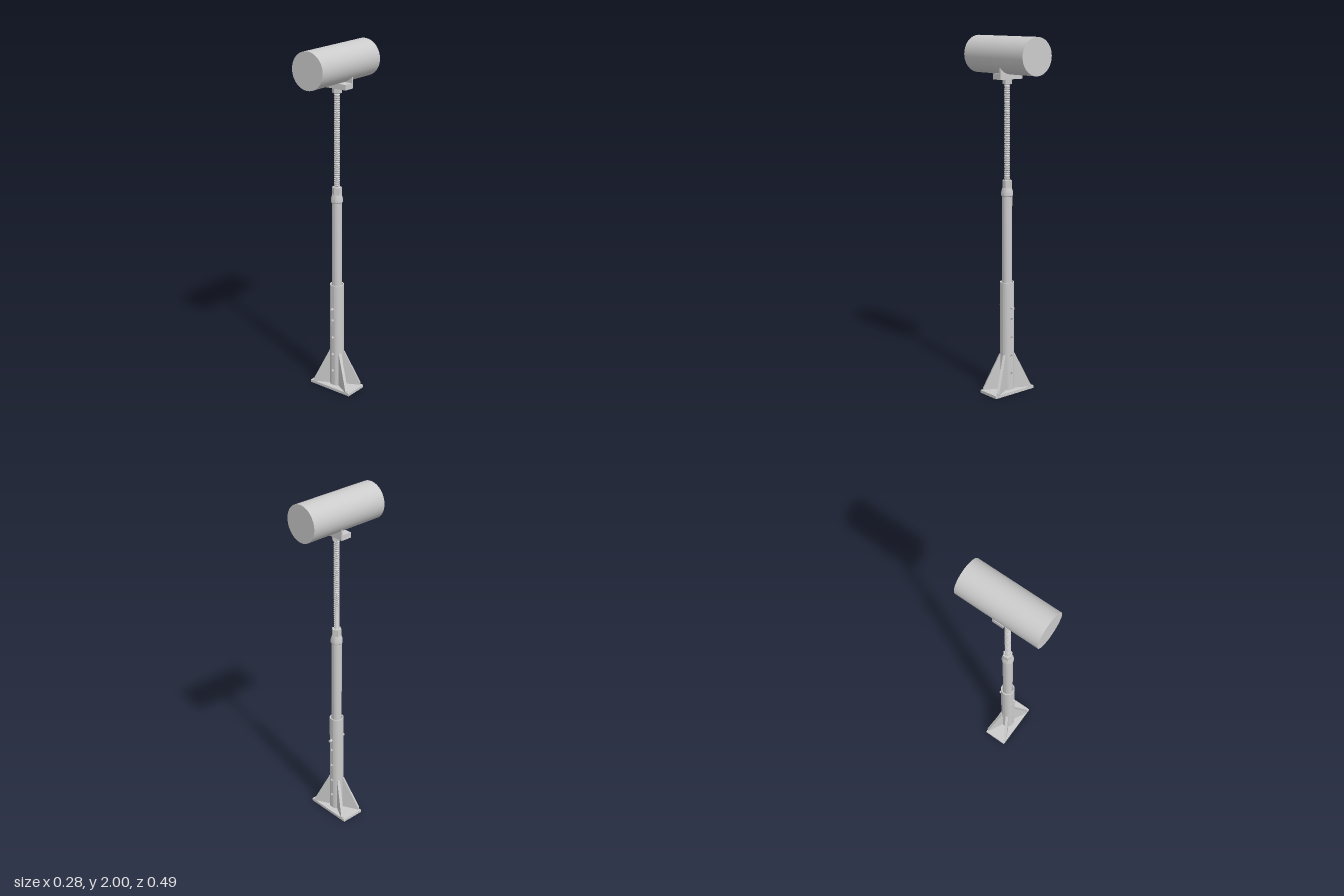
import * as THREE from 'three';
import { toCreasedNormals } from 'three/addons/utils/BufferGeometryUtils.js';

const material = new THREE.MeshStandardMaterial({ color: 0xcccccc, side: THREE.DoubleSide });

export function createModel() {
  const model = new THREE.Group();

  const add = (name, geometry, x = 0, y = 0, z = 0, parent = model) => {
    const mesh = new THREE.Mesh(geometry, material);
    mesh.name = name;
    mesh.position.set(x, y, z);
    parent.add(mesh);
    return mesh;
  };
  const lathe = (points, sides) => toCreasedNormals(
    new THREE.LatheGeometry(points.map(([r, y]) => new THREE.Vector2(r, y)), sides), 0.6);
  const extrude = (shape, depth, curveSegments = 12) =>
    new THREE.ExtrudeGeometry(shape, { depth, bevelEnabled: false, curveSegments });

  // Base plate with four splayed gussets
  add('basePlate', new THREE.BoxGeometry(0.28, 0.016, 0.138), 0, 0.008, 0);
  const gussetShape = new THREE.Shape([
    [0.036, 0.014], [0.139, 0.014], [0.139, 0.024], [0.044, 0.22], [0.036, 0.22],
  ].map(([x, y]) => new THREE.Vector2(x, y)));
  const gussetGeometry = extrude(gussetShape, 0.016).translate(0, 0, -0.008);
  const splay = THREE.MathUtils.degToRad(28);
  for (const angle of [splay, -splay, Math.PI - splay, Math.PI + splay]) {
    add('gusset', gussetGeometry).rotation.y = angle;
  }

  // Outer tube: two curved walls joined by narrow front and back strips with holes
  const outer = 0.04, wall = 0.007, bottom = 0.016, top = 0.642, halfStrip = 0.011;
  const tube = new THREE.Group();
  tube.name = 'outerTube';
  model.add(tube);
  const cut = Math.asin(halfStrip / outer);
  const sweep = Math.PI / 2 - cut;
  const arc = new THREE.Shape();
  arc.absarc(0, 0, outer, -sweep, sweep, false);
  arc.absarc(0, 0, outer - wall, sweep, -sweep, true);
  const wallGeometry = toCreasedNormals(
    extrude(arc, top - bottom, 20).rotateX(-Math.PI / 2), 0.6);

  const strip = new THREE.Shape([
    new THREE.Vector2(-halfStrip, bottom), new THREE.Vector2(halfStrip, bottom),
    new THREE.Vector2(halfStrip, top), new THREE.Vector2(-halfStrip, top),
  ]);
  for (const y of [0.11, 0.215, 0.323, 0.43, 0.497]) {
    const hole = new THREE.Path();
    hole.absarc(0, y, 0.008, 0, Math.PI * 2, true);
    strip.holes.push(hole);
  }
  const stripGeometry = extrude(strip, wall).translate(0, 0, outer * Math.cos(cut) - wall);
  for (const turn of [0, Math.PI]) {
    add('tubeWall', wallGeometry, 0, bottom, 0, tube).rotation.y = turn;
    add('holeStrip', stripGeometry, 0, 0, 0, tube).rotation.y = turn;
  }
  add('lockingPin', new THREE.CylinderGeometry(0.0075, 0.0075, 0.112, 16), 0, 0.497, 0)
    .rotation.x = Math.PI / 2;

  // Telescoping inner tube and its end fitting
  add('innerTube', lathe([[0, 0.46], [0.0285, 0.46], [0.0285, 1.14], [0, 1.14]], 32));
  add('fittingCollar', lathe([
    [0.0285, 1.128], [0.033, 1.133], [0.033, 1.152], [0.026, 1.176], [0, 1.176],
  ], 32));
  add('fittingNut', new THREE.CylinderGeometry(0.027, 0.027, 0.062, 6).toNonIndexed(), 0, 1.187, 0)
    .geometry.computeVertexNormals();

  // Flexible neck with ribs
  const ribs = [], ribCount = 44, neckBottom = 1.21, neckTop = 1.75;
  const pitch = (neckTop - neckBottom) / ribCount;
  for (let i = 0; i < ribCount; i++) {
    const y = neckBottom + i * pitch;
    ribs.push([0.0125, y], [0.016, y + pitch * 0.3], [0.016, y + pitch * 0.7]);
  }
  ribs.push([0.0125, neckTop]);
  add('flexibleNeck', lathe(ribs, 20));

  // Upper nut and saddle bracket
  add('upperNut', new THREE.CylinderGeometry(0.026, 0.026, 0.028, 6).toNonIndexed(), 0, 1.757, 0)
    .geometry.computeVertexNormals();
  const radius = 0.102, centre = 1.898, halfWidth = 0.078;
  add('bracketPlate', new THREE.BoxGeometry(halfWidth * 2, 0.03, 0.064), 0, 1.785, -0.005);
  const edge = Math.asin(halfWidth / radius);
  const saddle = new THREE.Shape();
  saddle.moveTo(-halfWidth, 1.77);
  saddle.lineTo(halfWidth, 1.77);
  saddle.absarc(0, centre, radius, -Math.PI / 2 + edge, -Math.PI / 2 - edge, true);
  saddle.closePath();
  add('bracketSaddle', extrude(saddle, 0.01, 16), 0, 0, -0.037);

  // Cylindrical head lying front to back
  add('head', new THREE.CylinderGeometry(radius, radius, 0.486, 48), 0, centre, 0)
    .rotation.x = Math.PI / 2;

  return model;
}
